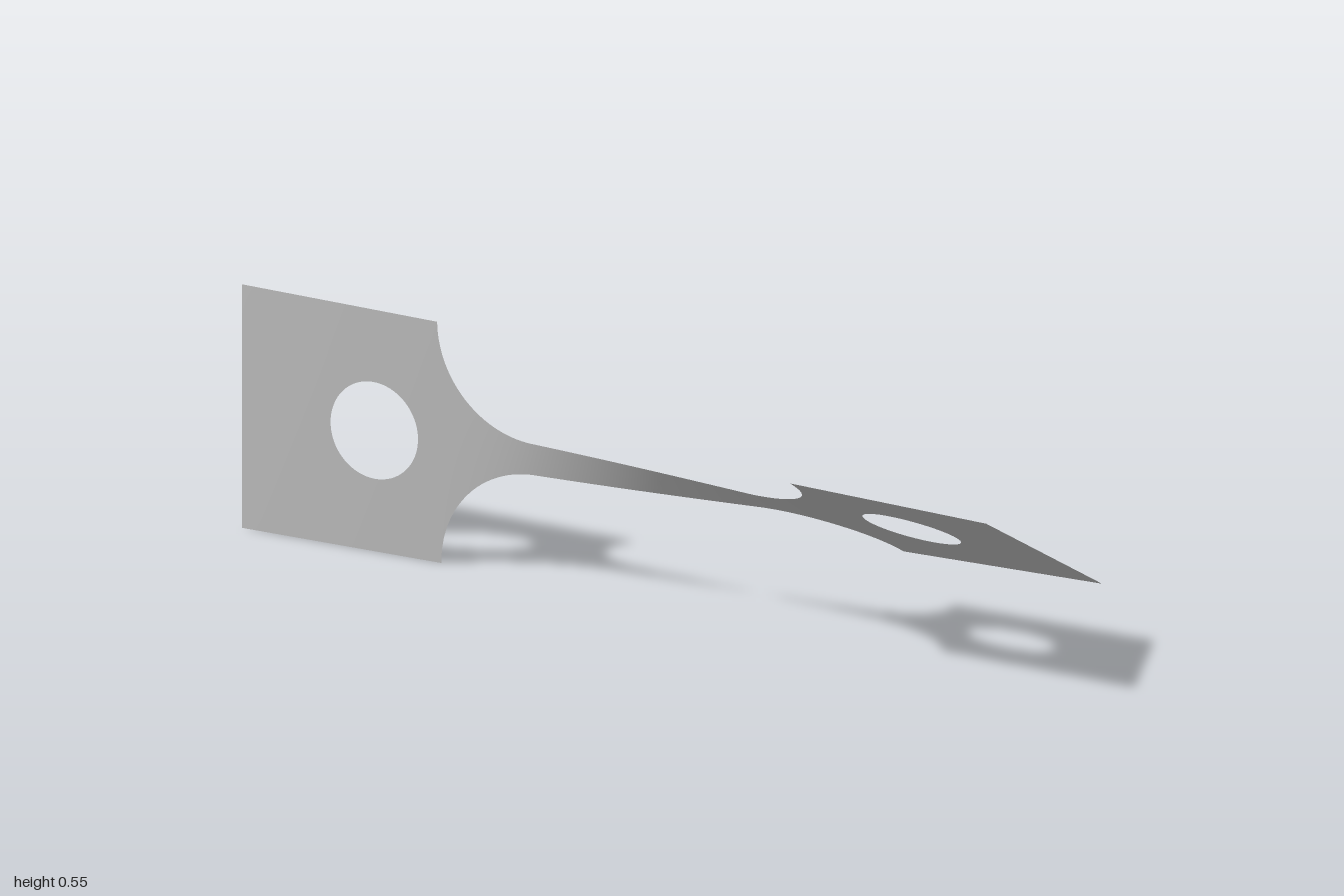
import * as THREE from 'three';
import { mergeVertices } from 'three/addons/utils/BufferGeometryUtils.js';

const HALF = 0.2725;      // half height of the end plates
const NECK = 0.0375;      // half height of the neck
const R = HALF - NECK;    // fillet radius
const PLATE = 0.508;      // inner edge of the plates
const HOLE_X = 0.67, HOLE_R = 0.109;
const TWIST = THREE.MathUtils.degToRad(61);

// half height of the flat outline at x
function halfWidth(x) {
  const d = Math.abs(x) - (PLATE - R);
  if (d <= 0) return NECK;
  if (d >= R) return HALF;
  return HALF - Math.sqrt(R * R - d * d);
}

// half chord of the bolt hole at x
function holeHalf(x) {
  const d = Math.abs(x) - HOLE_X;
  return Math.sqrt(Math.max(0, HOLE_R * HOLE_R - d * d));
}

// accumulated twist: the narrow neck turns far more than the wide plates
const STEPS = 2000;
const turn = [0];
for (let i = 0; i < STEPS; i++) {
  const x = -1 + (2 * (i + 0.5)) / STEPS;
  turn.push(turn[i] + Math.pow(halfWidth(x), -1.5));
}
function angleAt(x) {
  const t = ((x + 1) / 2) * STEPS;
  const i = Math.min(STEPS - 1, Math.max(0, Math.floor(t)));
  return (TWIST * (turn[i] + (turn[i + 1] - turn[i]) * (t - i))) / turn[STEPS];
}

// columns from a to b, bunched at both ends
function spread(a, b, n) {
  return Array.from({ length: n + 1 }, (_, i) => a + ((b - a) * (1 - Math.cos((Math.PI * i) / n))) / 2);
}

// twisted sheet over the given columns, as a lower and an upper band
function sheet(xs) {
  const rows = 10, pos = [], index = [];
  for (const side of [-1, 1]) {
    const base = pos.length / 3;
    xs.forEach((x) => {
      const inner = side * holeHalf(x), outer = side * halfWidth(x);
      const [lo, hi] = side < 0 ? [outer, inner] : [inner, outer];
      const a = angleAt(x);
      for (let j = 0; j <= rows; j++) {
        const v = lo + ((hi - lo) * j) / rows;
        pos.push(x, HALF + v * Math.cos(a), v * Math.sin(a));
      }
    });
    for (let i = 0; i < xs.length - 1; i++) {
      for (let j = 0; j < rows; j++) {
        const a = base + i * (rows + 1) + j, b = a + rows + 1;
        index.push(a, b, b + 1, a, b + 1, a + 1);
      }
    }
  }
  let g = new THREE.BufferGeometry();
  g.setAttribute('position', new THREE.Float32BufferAttribute(pos, 3));
  g.setIndex(index);
  g = mergeVertices(g, 1e-5);
  g.computeVertexNormals();
  return g;
}

export function createModel() {
  const group = new THREE.Group();
  group.name = 'twistedTestStrip';
  const metal = new THREE.MeshStandardMaterial({ color: 0xc0c0c0, side: THREE.DoubleSide });
  metal.name = 'grey metal';

  const add = (name, xs) => {
    const mesh = new THREE.Mesh(sheet(xs), metal);
    mesh.name = name;
    group.add(mesh);
  };

  // end plates with round holes
  const plate = [
    ...spread(PLATE, HOLE_X - HOLE_R, 6),
    ...spread(HOLE_X - HOLE_R, HOLE_X + HOLE_R, 32).slice(1),
    ...spread(HOLE_X + HOLE_R, 1, 10).slice(1),
  ];
  add('leftPlate', plate);
  add('rightPlate', plate.map((x) => -x).reverse());

  // neck with filleted shoulders
  const s = PLATE - R;
  add('neck', [
    ...spread(-PLATE, -s, 28),
    ...spread(-s, s, 40).slice(1),
    ...spread(s, PLATE, 28).slice(1),
  ]);
  return group;
}
